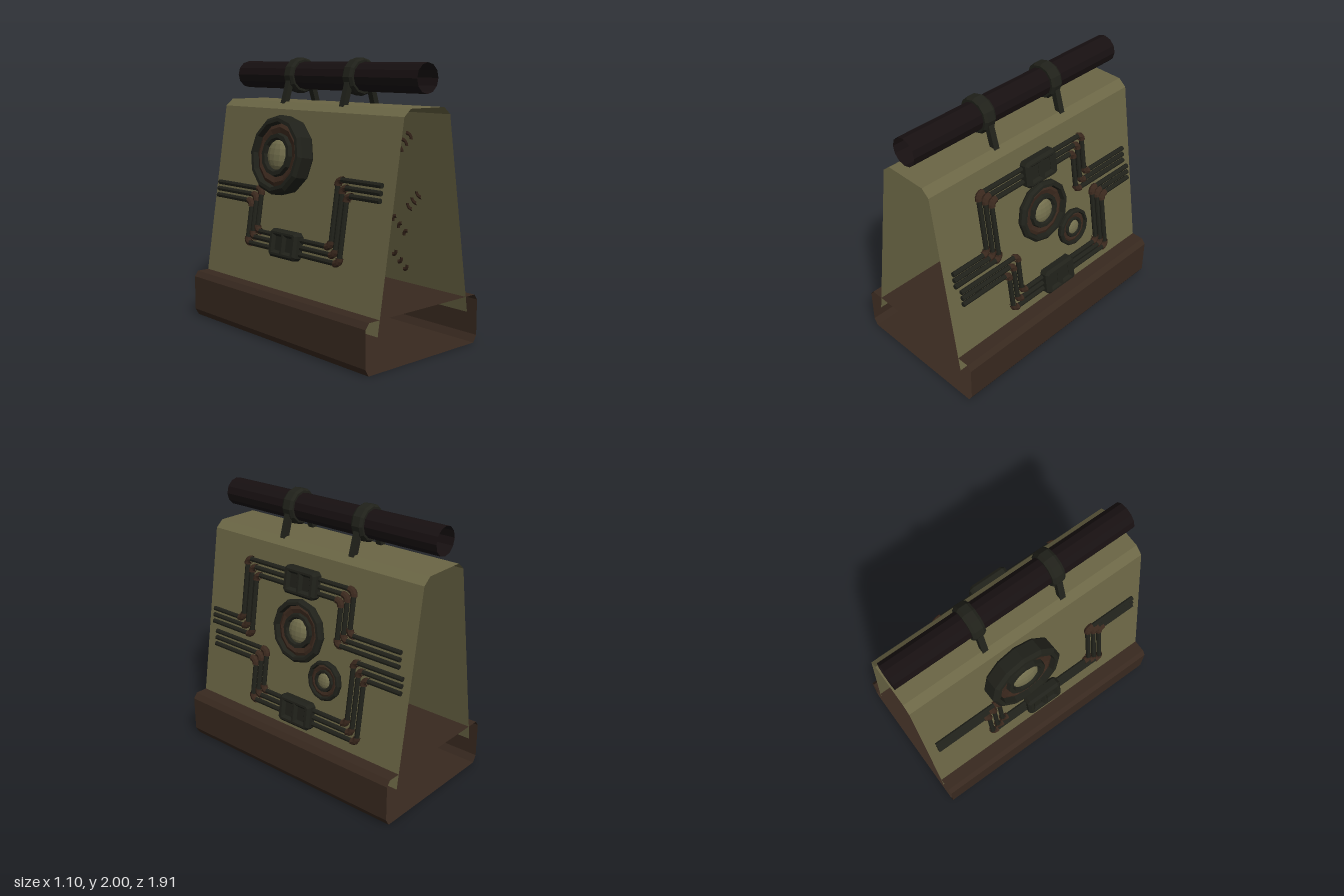
import * as THREE from 'three';

const mat = (color, side = THREE.FrontSide) =>
  new THREE.MeshStandardMaterial({ color, side, flatShading: true, roughness: 0.9 });
const olive = mat(0x6b6645, THREE.DoubleSide);
const brown = mat(0x38291f, THREE.DoubleSide);
const black = mat(0x171011, THREE.DoubleSide);
const iron = mat(0x20211a, THREE.DoubleSide);
const rust = mat(0x3a281d, THREE.DoubleSide);
const glass = mat(0x74704e);

const LENGTH = 1.91;
const TILT = Math.atan(0.16);
const MID = { x: 0.322, y: 0.99 };

function add(parent, name, geometry, material, x = 0, y = 0, z = 0) {
  const mesh = new THREE.Mesh(geometry, material);
  mesh.name = name;
  mesh.position.set(x, y, z);
  parent.add(mesh);
  return mesh;
}

// Folded sheet: an x/y outline swept along z with open ends
function sheet(outline) {
  const geo = new THREE.PlaneGeometry(1, 1, outline.length - 1, 1);
  const pos = geo.attributes.position;
  for (let i = 0; i < pos.count; i++) {
    const [x, y] = outline[i % outline.length];
    pos.setXYZ(i, x, y, (i < outline.length ? -0.5 : 0.5) * LENGTH);
  }
  const flat = geo.toNonIndexed();
  flat.computeVertexNormals();
  return flat;
}

// Turned shape whose axis points along +z
function turned(profile, sides = 12) {
  const geo = new THREE.LatheGeometry(profile.map(([r, h]) => new THREE.Vector2(r, h)), sides);
  return geo.rotateX(Math.PI / 2);
}

// Round gauge with a rim, sunken ring, collar and lens
function dial(parent, name, x, y, R, h) {
  const g = new THREE.Group();
  g.name = name;
  g.position.set(x, y, -0.004);
  const face = h - 0.15 * R;
  add(g, 'dialRim', turned([[R * 0.95, 0], [R, 0.02], [R, h - 0.08 * R], [R * 0.92, h], [R * 0.83, h], [R * 0.79, face]]), iron);
  add(g, 'dialRing', turned([[R * 0.81, face], [R * 0.7, face + 0.05 * R], [R * 0.54, face]]), rust);
  add(g, 'dialCollar', turned([[R * 0.56, face], [R * 0.53, h - 0.04 * R], [R * 0.43, h - 0.04 * R], [R * 0.36, face]]), iron);
  const lens = add(g, 'dialLens', new THREE.SphereGeometry(R * 0.39, 12, 8), glass, 0, 0, face);
  lens.scale.z = 0.35;
  parent.add(g);
}

// Junction box with two sunken windows
function junctionBox(parent) {
  const s = new THREE.Shape();
  const w = 0.13, h = 0.082, c = 0.012;
  [[-w + c, -h], [w - c, -h], [w, -h + c], [w, h - c], [w - c, h], [-w + c, h], [-w, h - c], [-w, -h + c]]
    .forEach(([x, y], i) => (i ? s.lineTo(x, y) : s.moveTo(x, y)));
  s.closePath();
  for (const x of [-0.058, 0.058]) {
    const hole = new THREE.Path();
    hole.moveTo(x - 0.05, -0.068).lineTo(x - 0.05, 0.068).lineTo(x + 0.05, 0.068).lineTo(x + 0.05, -0.068);
    hole.closePath();
    s.holes.push(hole);
  }
  const geo = new THREE.ExtrudeGeometry(s, {
    depth: 0.05, bevelThickness: 0.02, bevelSize: 0.018, bevelSegments: 1,
  });
  add(parent, 'junctionBox', geo, iron, 0, 0, 0.008);
  add(parent, 'junctionWindows', new THREE.BoxGeometry(0.25, 0.16, 0.04), iron, 0, 0, 0.035);
}

// Three nested pipes with elbows, running through a junction box
function circuit(parent, name, x, y, turn, lift = 0) {
  const g = new THREE.Group();
  g.name = name;
  g.position.set(x, y, lift);
  g.rotation.z = turn;
  const depth = 0.02, trim = 0.042;
  for (const o of [-0.05, 0, 0.05]) {
    const path = [[-0.9, 0.31 + o], [-0.405 + o, 0.31 + o], [-0.405 + o, o],
      [0.5 - o, o], [0.5 - o, 0.46 + o], [0.87, 0.46 + o]]
      .map(([px, py]) => new THREE.Vector3(px, py, depth));
    for (let i = 0; i < path.length - 1; i++) {
      const a = path[i], b = path[i + 1];
      const pipe = add(g, 'pipe', new THREE.CylinderGeometry(0.018, 0.018, a.distanceTo(b) - 0.02, 8), iron);
      pipe.position.copy(a).add(b).multiplyScalar(0.5);
      if (a.y === b.y) pipe.rotation.z = Math.PI / 2;
      if (i === 0) continue;
      const toward = (p) => a.clone().add(p.clone().sub(a).setLength(trim));
      const bend = new THREE.QuadraticBezierCurve3(toward(path[i - 1]), a, toward(b));
      add(g, 'elbow', new THREE.TubeGeometry(bend, 4, 0.026, 8), rust);
    }
  }
  junctionBox(g);
  parent.add(g);
}

// Frame lying on a sloping wall: x along it, y up it, z outward
function wallFrame(root, name, side) {
  const g = new THREE.Group();
  g.name = name;
  g.rotation.order = 'YXZ';
  g.rotation.set(-TILT, side * Math.PI / 2, 0);
  g.position.set(side * MID.x, MID.y, 0);
  root.add(g);
  return g;
}
const up = (y) => (y - MID.y) / Math.cos(TILT);

export function createModel() {
  const root = new THREE.Group();
  root.name = 'machineHousing';

  // Tapered housing and closed base profile, both open at the ends
  add(root, 'housing', sheet([[0.442, 0.24], [0.22, 1.63], [0.16, 1.68],
    [-0.16, 1.68], [-0.22, 1.63], [-0.442, 0.24]]), olive);
  add(root, 'base', sheet([[0.52, 0], [0.55, 0.05], [0.55, 0.31], [0.52, 0.35],
    [-0.52, 0.35], [-0.55, 0.31], [-0.55, 0.05], [-0.52, 0], [0.52, 0]]), brown);

  // Top pipe with two clamps
  const tube = new THREE.CylinderGeometry(0.102, 0.102, LENGTH - 0.01, 12, 1, true).rotateX(Math.PI / 2);
  add(root, 'topPipe', tube, black, 0, 1.87, 0);
  for (const z of [0.317, -0.317]) {
    const clamp = new THREE.Group();
    clamp.name = 'clamp';
    clamp.position.set(0, 1.87, z);
    add(clamp, 'clampRing', turned([[0.1, -0.05], [0.118, -0.05], [0.132, -0.03], [0.132, 0.03],
      [0.118, 0.05], [0.1, 0.05], [0.1, -0.05]]), iron);
    for (const s of [1, -1]) {
      const leg = add(clamp, 'clampLeg', new THREE.BoxGeometry(0.042, 0.2, 0.045), iron, s * 0.13, -0.13, 0);
      leg.rotation.z = s * 0.3;
    }
    root.add(clamp);
  }

  // Left wall: two circuits around two gauges
  const left = wallFrame(root, 'leftWallFittings', 1);
  circuit(left, 'upperCircuit', -0.03, up(1.43), Math.PI);
  circuit(left, 'lowerCircuit', 0.04, up(0.5), 0);
  dial(left, 'largeDial', -0.027, up(1.08), 0.232, 0.06);
  dial(left, 'smallDial', 0.255, up(0.795), 0.145, 0.05);

  // Right wall: one circuit under a deep gauge
  const right = wallFrame(root, 'rightWallFittings', -1);
  circuit(right, 'sideCircuit', 0.005, up(0.685), 0, 0.012);
  dial(right, 'deepDial', -0.135, up(1.3), 0.285, 0.14);

  return root;
}
